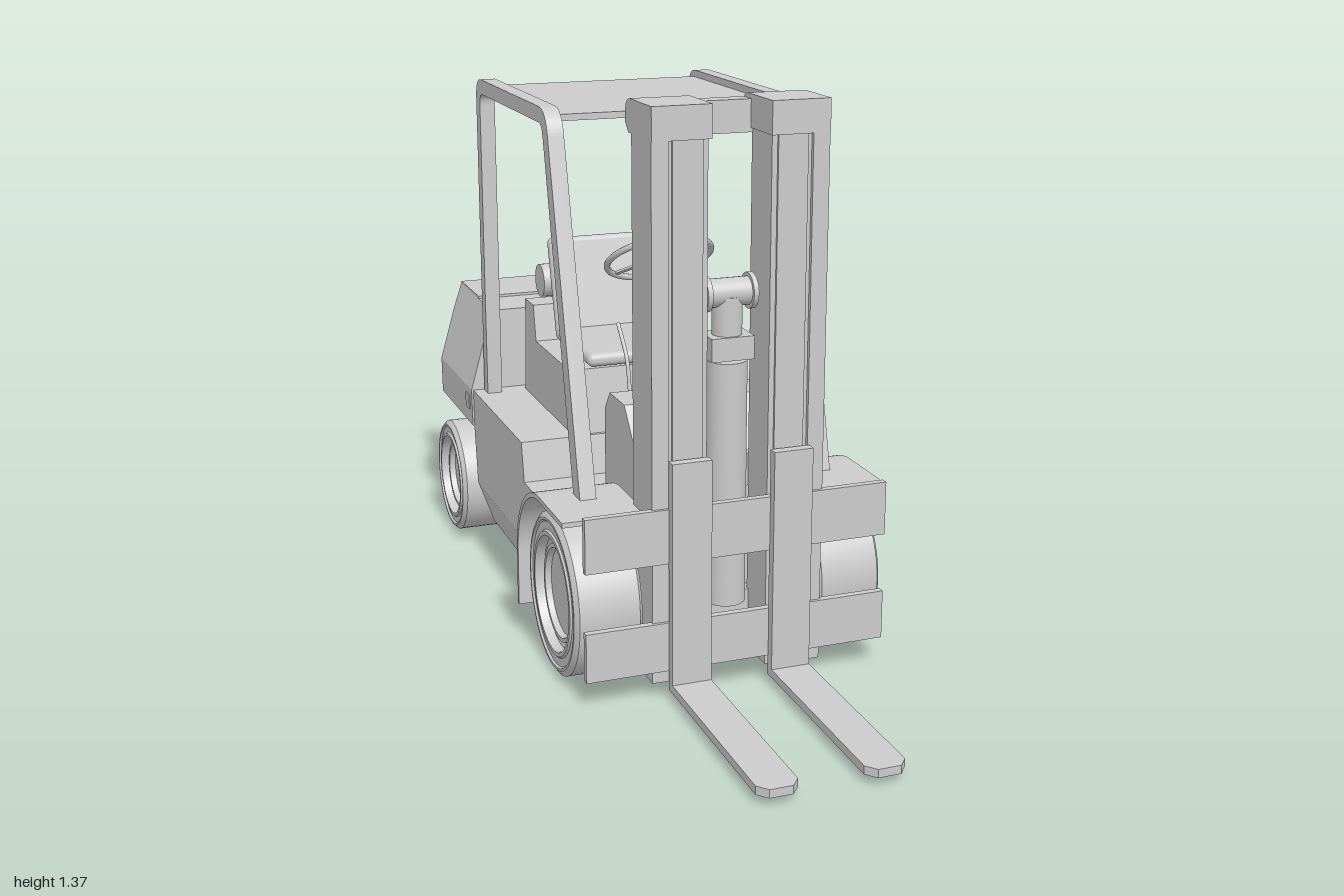
import * as THREE from 'three';
import { toCreasedNormals } from 'three/addons/utils/BufferGeometryUtils.js';
import { RoundedBoxGeometry } from 'three/addons/geometries/RoundedBoxGeometry.js';

const V = (x, y, z) => new THREE.Vector3(x, y, z);

export function createModel() {
  const model = new THREE.Group();
  const mat = new THREE.MeshStandardMaterial({ color: 0xcccccc, side: THREE.DoubleSide });

  function add(name, geo, x = 0, y = 0, z = 0) {
    const m = new THREE.Mesh(geo, mat);
    m.name = name;
    m.position.set(x, y, z);
    model.add(m);
    return m;
  }
  // box given by its limits
  const box = (name, x0, x1, y0, y1, z0, z1) =>
    add(name, new THREE.BoxGeometry(x1 - x0, y1 - y0, z1 - z0), (x0 + x1) / 2, (y0 + y1) / 2, (z0 + z1) / 2);
  // side profile of [z, y] points (or a Shape) extruded from x0 to x1
  function profileGeo(pts, x0, x1) {
    const shape = Array.isArray(pts) ? new THREE.Shape(pts.map(p => new THREE.Vector2(...p))) : pts;
    const g = new THREE.ExtrudeGeometry(shape, { depth: x1 - x0, bevelEnabled: false, curveSegments: 16 });
    return g.rotateY(-Math.PI / 2).translate(x1, 0, 0);
  }
  const profile = (name, pts, x0, x1) => add(name, profileGeo(pts, x0, x1));
  // profile whose half width follows a rule of height
  function tapered(name, pts, halfWidth) {
    const g = profileGeo(pts, -1, 1), p = g.attributes.position;
    for (let i = 0; i < p.count; i++) p.setX(i, p.getX(i) * halfWidth(p.getY(i)));
    g.computeVertexNormals();
    return add(name, g);
  }
  const tube = (name, pts, r, seg = 32) =>
    add(name, new THREE.TubeGeometry(new THREE.CatmullRomCurve3(pts, false, 'centripetal'), seg, r, 12));
  const cyl = (name, r, h, x, y, z, n = 24) => add(name, new THREE.CylinderGeometry(r, r, h, n), x, y, z);
  const crossCyl = (name, r, h, x, y, z) => {
    const m = cyl(name, r, h, x, y, z, 28);
    m.rotation.z = Math.PI / 2;
    return m;
  };

  // chassis: bevelled sill, stepped side body, block between the front wheels
  tapered('lowerSill', [[0, 0.085], [0, 0.2], [-0.605, 0.2], [-0.592, 0.085]], y => 0.31 + (y - 0.085) / 0.115 * 0.04);
  profile('sideBody', [[0, 0.2], [0, 0.36], [-0.12, 0.36], [-0.14, 0.46], [-0.63, 0.46], [-0.63, 0.36], [-0.605, 0.2]], -0.35, 0.35);
  box('frontChassis', -0.21, 0.21, 0.085, 0.36, 0, 0.3);

  // counterweight
  profile('counterweightBelt', [[-0.625, 0.36], [-0.63, 0.46], [-0.99, 0.46], [-0.985, 0.36]], -0.355, 0.355);
  tapered('counterweightTop', [[-0.63, 0.46], [-0.638, 0.68], [-0.985, 0.68], [-0.994, 0.6], [-0.99, 0.46]],
    y => 0.355 - (y - 0.46) / 0.22 * 0.065);
  profile('counterweightCore', [[-0.6, 0.085], [-0.6, 0.37], [-0.985, 0.37], [-0.935, 0.085]], -0.2, 0.2);
  box('topCover', -0.29, 0.29, 0.68, 0.687, -0.98, -0.78);
  for (const s of [-1, 1]) {
    for (const x of [0.155, 0.27]) {
      const light = add('rearLight', new THREE.TorusGeometry(0.036, 0.005, 6, 28), s * x, 0.55, -0.992);
      light.scale.z = 0.8;
    }
    box('sideSocket', s * 0.354 - 0.004, s * 0.354 + 0.004, 0.4, 0.44, -0.69, -0.65);
  }

  // engine hood and seat
  profile('engineHood', [[-0.15, 0.46], [-0.175, 0.625], [-0.48, 0.625], [-0.5, 0.72], [-0.58, 0.72], [-0.595, 0.46]], -0.21, 0.21);
  add('seatCushion', new RoundedBoxGeometry(0.32, 0.035, 0.3, 4, 0.016), 0, 0.645, -0.318);
  const back = add('seatBack', new RoundedBoxGeometry(0.32, 0.27, 0.032, 4, 0.015), 0, 0.765, -0.49);
  back.rotation.x = -0.28;

  // exhaust pipe and muffler
  tube('exhaustPipe', [V(0.245, 0.5, -0.3), V(0.25, 0.488, -0.42), V(0.255, 0.488, -0.54), V(0.262, 0.52, -0.59),
    V(0.265, 0.68, -0.6), V(0.25, 0.73, -0.62), V(0.19, 0.738, -0.68), V(0.1, 0.738, -0.71), V(0.02, 0.738, -0.712)], 0.022, 56);
  crossCyl('muffler', 0.046, 0.16, -0.05, 0.735, -0.712);
  box('mufflerFoot', -0.09, -0.01, 0.67, 0.7, -0.74, -0.68);

  // cowl, steering column and wheel
  profile('cowl', [[0.29, 0.3], [0.29, 0.49], [0.17, 0.63], [0.06, 0.63], [0.02, 0.58], [0.02, 0.3]], -0.18, 0.18);
  profile('steeringColumn', [[0.16, 0.61], [0.05, 0.6], [-0.075, 0.83], [-0.01, 0.87]], -0.05, 0.05);
  const steering = new THREE.Group();
  steering.name = 'steeringWheel';
  steering.position.set(0, 0.922, -0.085);
  steering.rotation.x = -0.59;
  const steerPart = (name, g) => {
    const m = new THREE.Mesh(g, mat);
    m.name = name;
    steering.add(m);
    return m;
  };
  steerPart('steeringRim', new THREE.TorusGeometry(0.132, 0.008, 10, 40).rotateX(Math.PI / 2));
  steerPart('steeringHub', new THREE.CylinderGeometry(0.028, 0.028, 0.02, 20));
  steerPart('steeringShaft', new THREE.CylinderGeometry(0.022, 0.022, 0.1, 16).translate(0, -0.05, 0));
  for (let i = 0; i < 4; i++) {
    const spoke = steerPart('steeringSpoke', new THREE.BoxGeometry(0.13, 0.006, 0.014).translate(0.065, 0, 0));
    spoke.rotation.y = Math.PI / 4 + i * Math.PI / 2;
  }
  model.add(steering);
  for (const x of [-0.1, -0.035, 0.035, 0.1])
    tube('controlLever', [V(x, 0.56, 0.02), V(x, 0.585, -0.015), V(x, 0.68, -0.045), V(x, 0.755, -0.112)], 0.005, 20);
  for (const x of [-0.12, 0.12]) {
    const pedal = box('pedal', x - 0.03, x + 0.03, 0.385, 0.4, 0.0, 0.06);
    pedal.rotation.x = 0.7;
  }

  // overhead guard
  const frame = new THREE.Shape();
  frame.moveTo(0.258, 0.435);
  frame.lineTo(0.042, 1.26);
  frame.quadraticCurveTo(0.027, 1.32, -0.03, 1.32);
  frame.lineTo(-0.57, 1.32);
  frame.quadraticCurveTo(-0.622, 1.32, -0.622, 1.265);
  frame.lineTo(-0.622, 0.46);
  frame.lineTo(-0.585, 0.46);
  frame.lineTo(-0.585, 1.25);
  frame.quadraticCurveTo(-0.585, 1.282, -0.555, 1.282);
  frame.lineTo(-0.03, 1.282);
  frame.quadraticCurveTo(-0.006, 1.282, 0.002, 1.25);
  frame.lineTo(0.205, 0.435);
  for (const s of [-1, 1]) profile('guardFrame', frame, s * 0.3 - 0.02, s * 0.3 + 0.02);
  box('guardRoof', -0.285, 0.285, 1.286, 1.302, -0.585, -0.005);

  // wheels: tyre and stepped rim turned as one profile
  function wheel(name, r, w, x, y, z) {
    const h = w / 2;
    const pts = [[0, -h * 0.8], [0.75, -h * 0.8], [0.78, -h], [0.93, -h], [1, -h * 0.88], [1, h * 0.88], [0.93, h], [0.9, h],
      [0.88, h * 0.94], [0.78, h * 0.94], [0.76, h], [0.71, h], [0.69, h * 0.72], [0.62, h * 0.68], [0.6, h * 0.8],
      [0.55, h * 0.8], [0.53, h * 0.62], [0, h * 0.62]].map(([a, b]) => new THREE.Vector2(a * r, b));
    const m = add(name, toCreasedNormals(new THREE.LatheGeometry(pts, 48), 0.5), x, y, z);
    m.rotation.z = -Math.sign(x) * Math.PI / 2;
  }

  // front fender arching over the back of the wheel
  const fender = new THREE.Shape();
  fender.moveTo(0.385, 0.437);
  fender.lineTo(0.2, 0.437);
  fender.absarc(0.2, 0.227, 0.21, Math.PI / 2, Math.PI, false);
  fender.lineTo(-0.01, 0.085);
  fender.lineTo(0.0, 0.085);
  fender.lineTo(0.002, 0.227);
  fender.absarc(0.2, 0.227, 0.198, Math.PI, Math.PI / 2, true);
  fender.lineTo(0.385, 0.425);
  for (const s of [-1, 1]) {
    wheel('frontWheel', 0.197, 0.165, s * 0.302, 0.2, 0.225);
    wheel('rearWheel', 0.157, 0.18, s * 0.297, 0.168, -0.782);
    add('frontFender', toCreasedNormals(profileGeo(fender, s > 0 ? 0.2 : -0.403, s > 0 ? 0.403 : -0.2), 0.4));
  }
  crossCyl('frontAxle', 0.06, 0.46, 0, 0.2, 0.225);
  crossCyl('rearAxle', 0.05, 0.46, 0, 0.168, -0.782);

  // mast columns: outer and inner channels, rear lift rods, caps
  const cap = new THREE.Shape();
  cap.moveTo(0.452, 1.3);
  cap.lineTo(0.452, 1.376);
  cap.lineTo(0.31, 1.376);
  cap.quadraticCurveTo(0.28, 1.372, 0.28, 1.345);
  cap.lineTo(0.28, 1.32);
  cap.lineTo(0.3, 1.3);
  for (const s of [-1, 1]) {
    const span = (name, a, b, ...r) => box(name, Math.min(s * a, s * b), Math.max(s * a, s * b), ...r);
    span('outerMastWeb', 0.19, 0.21, 0.04, 1.37, 0.32, 0.45);
    span('outerMastFrontFlange', 0.17, 0.2, 0.04, 1.37, 0.425, 0.45);
    span('outerMastRearFlange', 0.165, 0.2, 0.04, 1.37, 0.32, 0.345);
    span('innerMastWeb', 0.15, 0.17, 0.04, 1.37, 0.33, 0.44);
    span('innerMastFrontFlange', 0.088, 0.16, 0.04, 1.37, 0.415, 0.446);
    span('innerMastRearFlange', 0.075, 0.12, 0.04, 1.37, 0.325, 0.35);
    span('innerMastRail', 0.075, 0.09, 0.04, 1.37, 0.34, 0.44);
    profile('mastCap', cap, s > 0 ? 0.07 : -0.21, s > 0 ? 0.21 : -0.07);
    cyl('liftCylinder', 0.022, 0.52, s * 0.14, 0.74, 0.322);
    cyl('liftRod', 0.012, 0.32, s * 0.14, 1.16, 0.315);
    span('liftBracket', 0.1, 0.18, 0.98, 1.032, 0.285, 0.33);
    crossCyl('tiltPivot', 0.022, 0.05, s * 0.14, 0.5, 0.3);
    // fork: shank and blade with clipped tip
    span('forkShank', 0.076, 0.172, 0.022, 0.58, 0.455, 0.48);
    const blade = new THREE.Shape([[-0.048, 0.46], [0.048, 0.46], [0.048, 0.975], [0.027, 1], [-0.027, 1], [-0.048, 0.975]]
      .map(p => new THREE.Vector2(...p)));
    const g = new THREE.ExtrudeGeometry(blade, { depth: 0.02, bevelEnabled: false }).rotateX(Math.PI / 2);
    add('forkBlade', g, s * 0.124, 0.042, 0);
  }
  box('mastTopBar', -0.08, 0.08, 1.29, 1.365, 0.285, 0.33);
  box('mastLowerBar', -0.19, 0.19, 0.1, 0.19, 0.3, 0.335);
  box('mastMiddleBar', -0.19, 0.19, 0.45, 0.53, 0.295, 0.325);

  // carriage plates
  box('upperCarriagePlate', -0.372, 0.372, 0.335, 0.466, 0.44, 0.458);
  box('lowerCarriagePlate', -0.372, 0.372, 0.07, 0.19, 0.44, 0.458);

  // central lift cylinder with chain roller
  cyl('centreCylinder', 0.048, 0.59, 0, 0.485, 0.37);
  box('centreCollar', -0.052, 0.052, 0.785, 0.84, 0.33, 0.41);
  cyl('centreRod', 0.035, 0.1, 0, 0.88, 0.37);
  crossCyl('chainRoller', 0.033, 0.1, 0, 0.937, 0.37);
  for (const s of [-1, 1]) crossCyl('rollerFlange', 0.042, 0.012, s * 0.055, 0.937, 0.37);

  return model;
}
